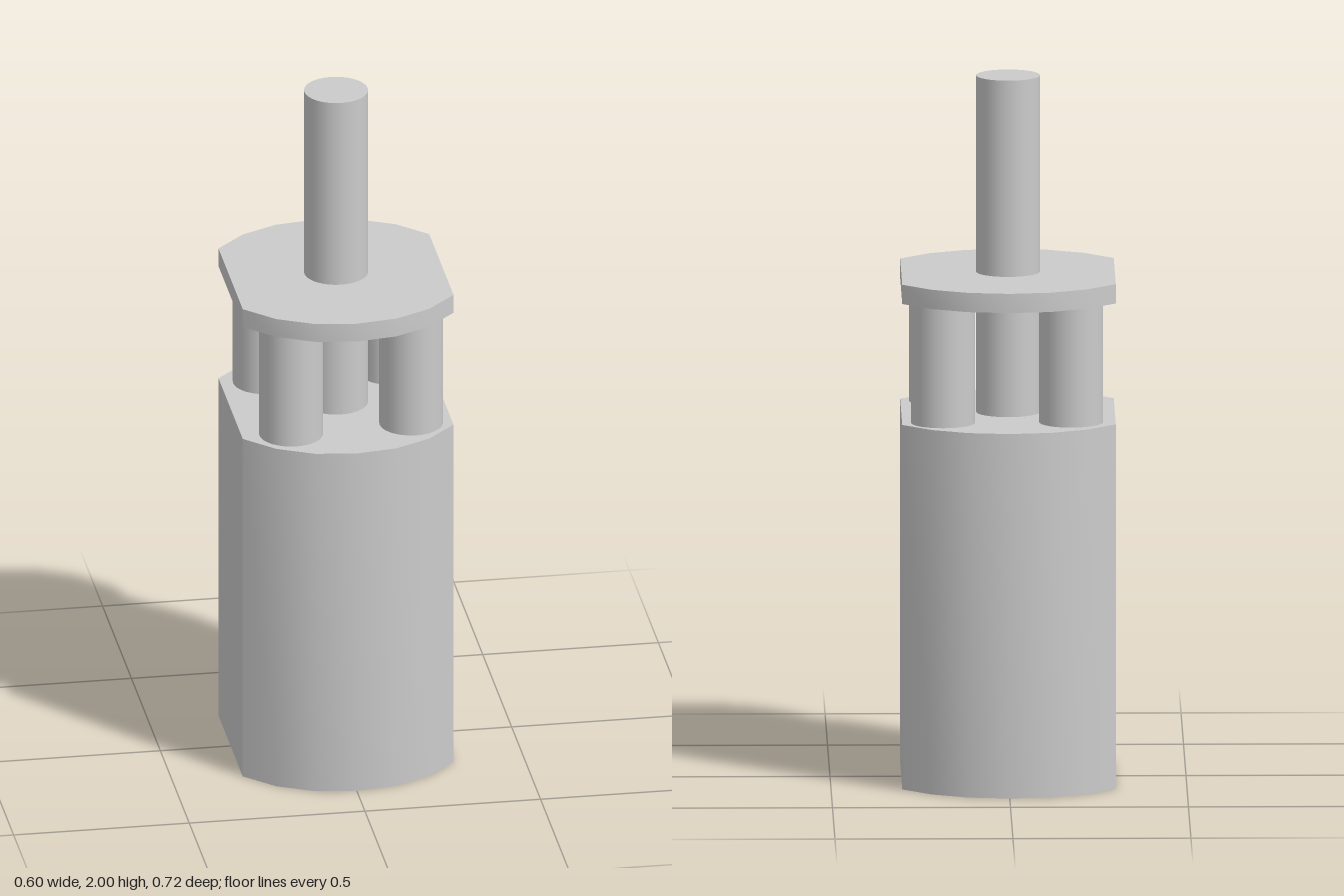
import * as THREE from 'three';
import { toCreasedNormals } from 'three/addons/utils/BufferGeometryUtils.js';

const material = new THREE.MeshStandardMaterial({ color: 0xcccccc });

// One quarter of the flat-sided round outline, mirrored to all four
const arc = [[0.3, 0.21], [0.218, 0.292], [0.116, 0.343], [0, 0.36]];
const half = [...arc, ...arc.slice(0, 3).reverse().map(([x, z]) => [-x, z])];
const outline = new THREE.Shape(
  [...half, ...half.map(([x, z]) => [-x, -z])].map(([x, z]) => new THREE.Vector2(x, z))
);

export function createModel() {
  const model = new THREE.Group();

  const add = (name, geometry, x, y, z) => {
    const mesh = new THREE.Mesh(geometry, material);
    mesh.name = name;
    mesh.position.set(x, y, z);
    model.add(mesh);
  };

  // Upright block with the shared outline
  const addBlock = (name, bottom, top) => {
    const geometry = new THREE.ExtrudeGeometry(outline, { depth: top - bottom, bevelEnabled: false });
    geometry.rotateX(-Math.PI / 2);
    add(name, toCreasedNormals(geometry, 0.5), 0, bottom, 0);
  };

  // Upright round bar
  const addBar = (name, x, z, bottom, top) =>
    add(name, new THREE.CylinderGeometry(0.09, 0.09, top - bottom, 32), x, (bottom + top) / 2, z);

  // Motor body and the plate above it
  addBlock('motorBody', 0, 1.04);
  addBlock('topPlate', 1.385, 1.44);

  // Drive shaft through the plate
  addBar('shaft', 0, 0, 1.04, 2);

  // Four slightly uneven posts between body and plate
  const posts = {
    frontLeftPost: [0.185, 0.175],
    backLeftPost: [0.185, -0.175],
    frontRightPost: [-0.16, 0.195],
    backRightPost: [-0.175, -0.17],
  };
  for (const [name, [x, z]] of Object.entries(posts)) addBar(name, x, z, 1.04, 1.385);

  return model;
}
